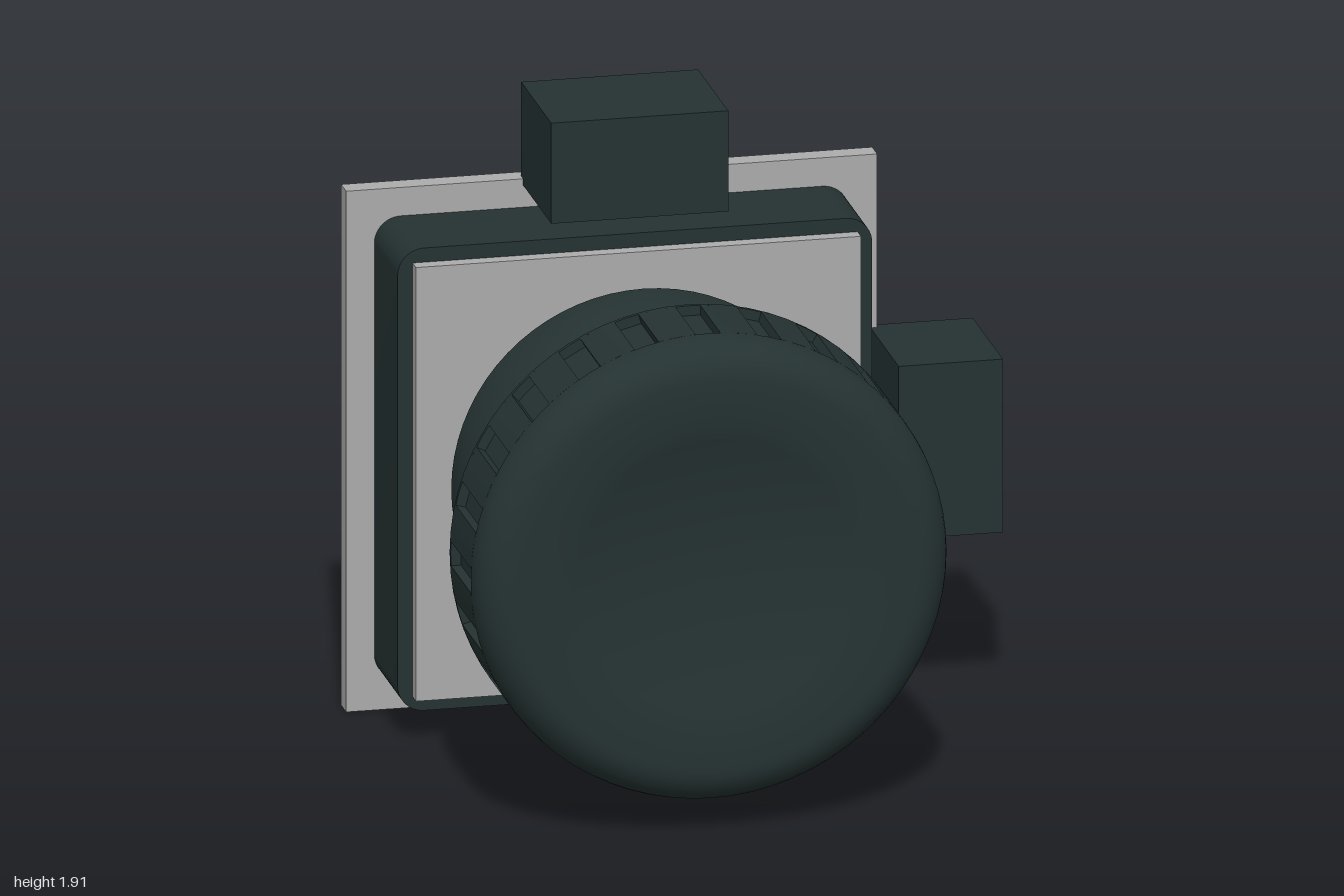
import * as THREE from 'three';
import { toCreasedNormals } from 'three/addons/utils/BufferGeometryUtils.js';

export function createModel() {
  const model = new THREE.Group();
  model.name = 'joystickModule';
  const dark = new THREE.MeshStandardMaterial({ color: 0x253232 });
  dark.name = 'dark plastic';
  const grey = new THREE.MeshStandardMaterial({ color: 0xacacac });
  grey.name = 'light grey';

  const CX = -0.148, CY = 0.81; // stick axis

  function add(name, geometry, material, x = 0, y = 0, z = 0) {
    const mesh = new THREE.Mesh(geometry, material);
    mesh.name = name;
    mesh.position.set(x, y, z);
    model.add(mesh);
    return mesh;
  }

  // box given by its limits on each axis
  function box(name, material, [x0, x1], [y0, y1], [z0, z1]) {
    return add(name, new THREE.BoxGeometry(x1 - x0, y1 - y0, z1 - z0), material,
      (x0 + x1) / 2, (y0 + y1) / 2, (z0 + z1) / 2);
  }

  // solid turned around the stick axis; profile is [radius, z] from back to front
  function turned(name, profile) {
    const points = profile.map(([r, z]) => new THREE.Vector2(r, z));
    const g = new THREE.LatheGeometry(points, 72);
    g.rotateX(Math.PI / 2);
    return add(name, toCreasedNormals(g, 0.4), dark, CX, CY, 0);
  }

  // circuit board and its row of pins
  box('circuitBoard', grey, [-0.95, 0.655], [0, 1.615], [-0.475, -0.408]);
  for (let i = 0; i < 5; i++) {
    const x = -0.603 + i * 0.227;
    box('pin' + (i + 1), grey, [x - 0.027, x + 0.027], [0.03, 0.06], [-1, -0.47]);
  }

  // housing with rounded corners
  const h = 0.717, r = 0.08;
  const outline = new THREE.Shape();
  outline.absarc(h - r, h - r, r, 0, Math.PI / 2);
  outline.absarc(r - h, h - r, r, Math.PI / 2, Math.PI);
  outline.absarc(r - h, r - h, r, Math.PI, Math.PI * 1.5);
  outline.absarc(h - r, r - h, r, Math.PI * 1.5, Math.PI * 2);
  const housing = new THREE.ExtrudeGeometry(outline, { depth: 0.313, bevelEnabled: false, curveSegments: 8 });
  add('housing', toCreasedNormals(housing, 0.4), dark, CX, CY, -0.408);
  box('frontPlate', grey, [-0.82, 0.525], [0.138, 1.483], [-0.1, -0.05]);

  // potentiometer blocks above and beside the housing
  box('topBlock', dark, [-0.415, 0.12], [1.595, 1.907], [-0.435, -0.033]);
  box('sideBlock', dark, [0.635, 0.95], [0.54, 1.077], [-0.435, -0.033]);

  // half-ball below the cap
  const R = 0.58, dome = [[0, 0.015]];
  for (let i = 0; i <= 20; i++) {
    const a = (i / 20) * 1.093;
    dome.push([R * Math.cos(a), 0.015 + R * Math.sin(a)]);
  }
  dome.push([0, 0.53]);
  turned('dome', dome);
  turned('neck', [[0.267, 0.5], [0.267, 0.61]]);

  // thumb cap: back rim, grooved grip band, rounded front with a shallow dish
  const capR = 0.717, fillet = 0.115, dishR = 0.467, dishDepth = 0.06;
  turned('capBack', [[0, 0.598], [capR, 0.598], [capR, 0.612], [0.6, 0.612]]);
  const front = [[0.6, 0.88], [capR, 0.88]];
  for (let i = 0; i <= 8; i++) {
    const a = (i / 8) * Math.PI / 2;
    front.push([capR - fillet + fillet * Math.cos(a), 1 - fillet + fillet * Math.sin(a)]);
  }
  for (let i = 0; i <= 10; i++) {
    const t = 1 - i / 10;
    front.push([dishR * t, 1 - dishDepth * (1 - t * t)]);
  }
  turned('capFront', front);

  const grooves = 24, half = 0.0375, floor = capR - 0.03;
  const step = Math.PI * 2 / grooves;
  const outerA = Math.asin(half / capR), innerA = Math.asin(half / floor);
  const band = [];
  const at = (radius, a) => band.push(new THREE.Vector2(radius * Math.cos(a), radius * Math.sin(a)));
  for (let i = 0; i < grooves; i++) {
    const a = i * step;
    at(floor, a - innerA);
    at(floor, a + innerA);
    for (let k = 0; k <= 3; k++) at(capR, a + outerA + (k / 3) * (step - 2 * outerA));
  }
  const grip = new THREE.ExtrudeGeometry(new THREE.Shape(band), { depth: 0.268, bevelEnabled: false });
  add('capGrip', toCreasedNormals(grip, 0.4), dark, CX, CY, 0.612);

  return model;
}
